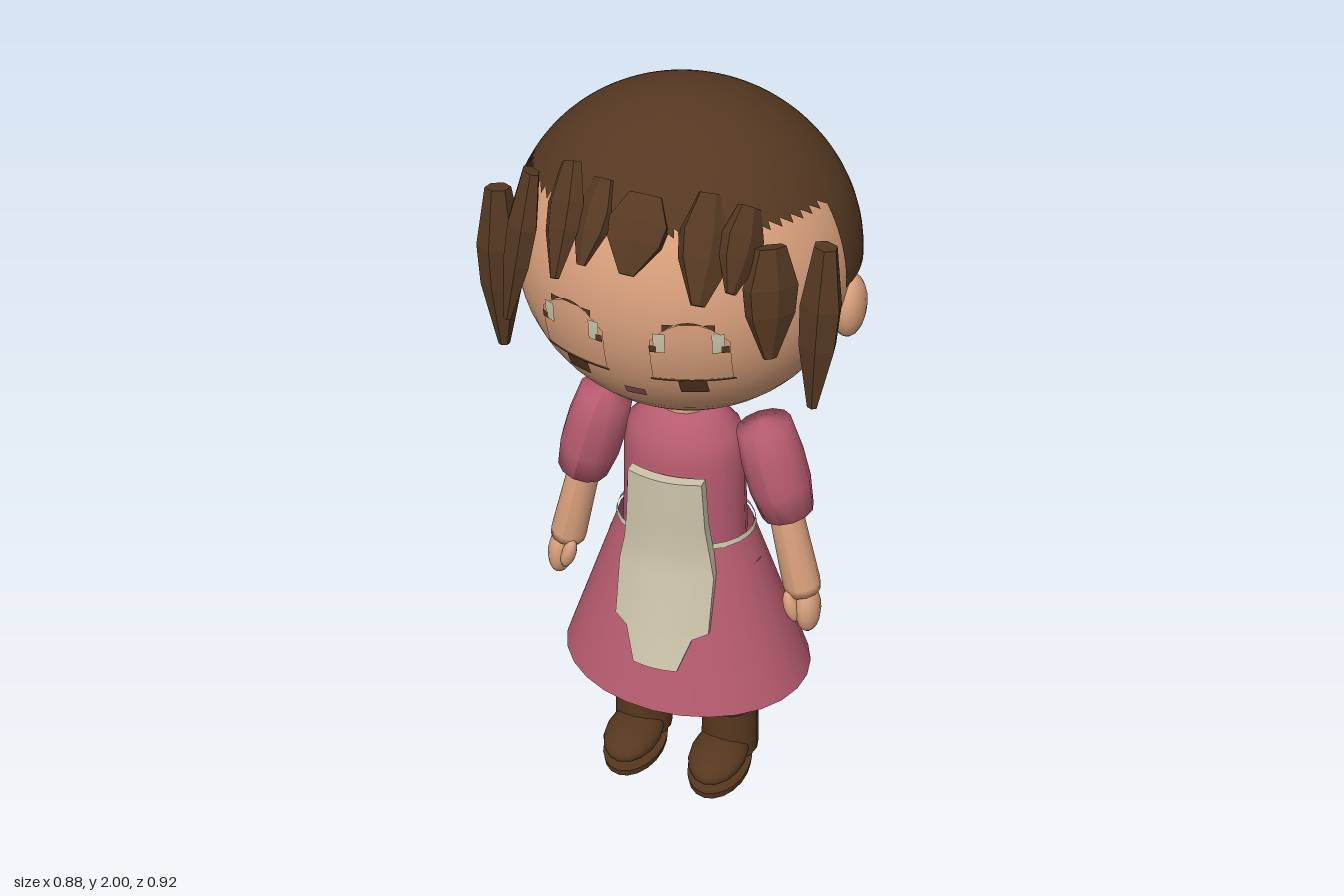
import * as THREE from 'three';

const mat = (name, color, double = false) => {
  const m = new THREE.MeshStandardMaterial({ color });
  m.name = name;
  if (double) m.side = THREE.DoubleSide;
  return m;
};

export function createModel() {
  const root = new THREE.Group();
  root.name = 'girl';
  const skin = mat('skin', 0xd9a07c);
  const hair = mat('hair brown', 0x553822, true);
  hair.flatShading = false;
  const dress = mat('dress pink', 0xb85c70, true);
  const cream = mat('apron cream', 0xcdc4aa, true);
  const legging = mat('legging grey', 0x5a4f48);
  const boot = mat('boot brown', 0x57381f);
  const yellow = mat('tie yellow', 0xdcc34a);
  const lip = mat('lip', 0x94505a, true);

  const add = (name, geo, material, parent = root) => {
    const m = new THREE.Mesh(geo, material);
    m.name = name;
    parent.add(m);
    return m;
  };
  const ball = (name, material, pos, radii, seg = 20) => {
    const m = add(name, new THREE.SphereGeometry(1, seg, Math.ceil(seg * 0.7)), material);
    m.position.set(...pos);
    m.scale.set(...radii);
    return m;
  };
  // Turned shape running from a (profile 1) down to b (profile 0), facing outward
  const spindle = (name, material, a, b, profile, w, d, seg, facing, flat = false) => {
    const A = new THREE.Vector3(...a), B = new THREE.Vector3(...b);
    const Y = A.clone().sub(B), len = Y.length();
    Y.normalize();
    const N = new THREE.Vector3(...facing).addScaledVector(Y, -Y.dot(new THREE.Vector3(...facing))).normalize();
    const X = Y.clone().cross(N);
    let geo = new THREE.LatheGeometry(profile.map(p => new THREE.Vector2(...p)), seg);
    geo.scale(w, len, d);
    geo.applyMatrix4(new THREE.Matrix4().makeBasis(X, Y, N).setPosition(B));
    if (flat) geo = geo.toNonIndexed();
    geo.computeVertexNormals();
    return add(name, geo, material);
  };

  // Head and ears
  const HY = 1.59, HZ = 0.06, R = [0.405, 0.39, 0.375];
  ball('head', skin, [0, HY, HZ], R, 40);
  for (const s of [-1, 1]) ball('ear', skin, [s * 0.4, 1.505, 0.045], [0.04, 0.08, 0.06], 14);

  // Hair cap: the cells of a shell that lie behind a stepped hairline
  const hr = [0.418, 0.4, 0.385], hy = 1.6;
  const cap = new THREE.SphereGeometry(1, 72, 60);
  cap.scale(...hr);
  const p = cap.attributes.position, keep = [];
  const isHair = (y, z) => y > 1.81 || (z < 0.12 && y > 1.6) || (z < -0.13 && y > 1.46) || (z < -0.17 && y > 1.32);
  const idx = cap.index.array;
  for (let i = 0; i < idx.length; i += 3) {
    const t = [idx[i], idx[i + 1], idx[i + 2]];
    const y = hy + t.reduce((a, k) => a + p.getY(k), 0) / 3;
    const z = HZ + t.reduce((a, k) => a + p.getZ(k), 0) / 3;
    if (isHair(y, z)) keep.push(...t);
  }
  cap.setIndex(keep);
  add('hairCap', cap, hair).position.set(0, hy, HZ);

  // Fringe and side locks: [top, tip, half width, half depth]
  const lock = [[0, 0], [0.25, 0], [0.9, 0.4], [1, 0.65], [0.55, 1], [0, 1]];
  const locks = [
    [[-0.385, 1.77, 0.25], [-0.385, 1.36, 0.27], 0.045, 0.055],
    [[0.395, 1.77, 0.25], [0.385, 1.36, 0.27], 0.045, 0.055],
    [[-0.28, 1.85, 0.29], [-0.325, 1.5, 0.365], 0.06, 0.035],
    [[0.29, 1.78, 0.31], [0.31, 1.53, 0.36], 0.07, 0.035],
    [[-0.18, 1.89, 0.29], [-0.165, 1.68, 0.44], 0.065, 0.035],
    [[-0.09, 1.88, 0.32], [-0.105, 1.72, 0.43], 0.05, 0.025],
    [[0.015, 1.87, 0.34], [0.01, 1.73, 0.45], 0.075, 0.03],
    [[0.15, 1.87, 0.29], [0.17, 1.68, 0.44], 0.07, 0.035],
    [[0.23, 1.85, 0.28], [0.23, 1.7, 0.4], 0.055, 0.03],
  ];
  for (const [a, b, w, d] of locks)
    spindle('hairLock', hair, a, b, lock, w, d, 6, [a[0], 0, a[2] - HZ], true);

  // Ponytail and its tie
  const tail = [[0, 0], [0.28, 0], [1, 0.27], [1, 0.68], [0.4, 0.97], [0, 1]];
  spindle('ponytail', hair, [0, 1.76, -0.35], [0, 1.17, -0.39], tail, 0.097, 0.082, 7, [0, 0, -1], true);
  ball('hairTie', yellow, [0, 1.74, -0.325], [0.045, 0.03, 0.03], 10);

  // Face plates wrapped on the head
  const plate = (name, material, x, y, w, h, off, arch = 0) => {
    const g = new THREE.PlaneGeometry(w, h, 8, 6), q = g.attributes.position;
    for (let i = 0; i < q.count; i++) {
      const u = 2 * q.getX(i) / w, v = q.getY(i) / h + 0.5;
      const px = x + q.getX(i), py = y + q.getY(i) - arch * u * u * v;
      const k = 1 - (px / R[0]) ** 2 - ((py - HY) / R[1]) ** 2;
      q.setXYZ(i, px, py, HZ + R[2] * Math.sqrt(k) + off);
    }
    g.computeVertexNormals();
    add(name, g, material);
  };
  for (const s of [-1, 1]) {
    plate('eyelid', skin, s * 0.14, 1.535, 0.17, 0.16, 0.008, 0.05);
    plate('upperLash', hair, s * 0.14, 1.616, 0.11, 0.007, 0.01, 0.025);
    plate('lowerLash', hair, s * 0.14, 1.453, 0.18, 0.006, 0.01);
    plate('iris', hair, s * 0.14, 1.43, 0.06, 0.045, 0.008);
    for (const t of [-1, 1]) {
      plate('eyeWhite', cream, s * 0.14 + t * 0.062, 1.563, 0.026, 0.05, 0.011);
      plate('eyeCorner', hair, s * 0.14 + t * 0.076, 1.548, 0.016, 0.018, 0.013);
    }
  }
  plate('mouth', lip, 0, 1.388, 0.05, 0.026, 0.006);

  // Neck and bodice
  add('neck', new THREE.CylinderGeometry(0.06, 0.065, 0.16, 16), skin).position.set(0, 1.18, 0.065);
  const body = [[0.165, 0.78], [0.16, 0.9], [0.158, 1.03], [0.145, 1.1], [0.09, 1.155], [0, 1.165]];
  const bodice = add('bodice', new THREE.LatheGeometry(body.map(q => new THREE.Vector2(...q)), 20), dress);
  bodice.scale.z = 0.79;
  bodice.position.z = 0.07;

  // Open skirt and apron band
  const skirt = add('skirt', new THREE.CylinderGeometry(0.18, 0.34, 0.46, 28, 1, true), dress);
  skirt.scale.z = 0.78;
  skirt.position.set(0, 0.57, 0.06);
  skirt.rotation.x = 0.025;
  const band = add('apronBand', new THREE.CylinderGeometry(0.182, 0.186, 0.014, 28, 1, true), cream);
  band.scale.z = 0.78;
  band.position.set(0, 0.806, 0.063);

  // Apron: rows of [y, half width, front z]
  const rows = [[1.02, 0.097, 0.234], [0.88, 0.105, 0.234], [0.8, 0.115, 0.232], [0.73, 0.128, 0.243],
    [0.575, 0.128, 0.28], [0.56, 0.09, 0.283], [0.47, 0.06, 0.306]];
  const ag = new THREE.BoxGeometry(2, 6, 1, 6, 6, 1), ap = ag.attributes.position;
  for (let i = 0; i < ap.count; i++) {
    const [y, w, z] = rows[Math.round(3 - ap.getY(i))];
    const x = ap.getX(i) * w;
    ap.setXYZ(i, x, y, z - 2.1 * x * x - (ap.getZ(i) < 0 ? 0.03 : 0));
  }
  ag.computeVertexNormals();
  add('apron', ag, cream);

  // Arms, legs and boots
  const sleeve = [[0, 0], [0.85, 0], [1, 0.3], [1, 0.6], [0.88, 0.95], [0, 1]];
  const arm = [[0, 0], [0.95, 0], [1, 0.08], [0.85, 1], [0, 1]];
  for (const s of [-1, 1]) {
    spindle('sleeve', dress, [s * 0.203, 1.155, 0.075], [s * 0.278, 0.895, 0.078], sleeve, 0.079, 0.08, 12, [0, 0, 1]);
    spindle('forearm', skin, [s * 0.262, 0.94, 0.08], [s * 0.328, 0.66, 0.085], arm, 0.049, 0.05, 12, [0, 0, 1]);
    ball('hand', skin, [s * 0.345, 0.612, 0.095], [0.034, 0.072, 0.048], 12).rotation.z = s * 0.08;
    ball('thumb', skin, [s * 0.31, 0.628, 0.125], [0.02, 0.048, 0.022], 10).rotation.z = s * 0.3;

    add('leg', new THREE.CylinderGeometry(0.078, 0.064, 0.56, 16), legging).position.set(s * 0.13, 0.44, 0.072);
    const shaft = add('bootShaft', new THREE.CylinderGeometry(0.076, 0.08, 0.16, 16), boot);
    shaft.position.set(s * 0.128, 0.116, 0.064);
    ball('bootFoot', boot, [s * 0.125, 0.066, 0.15], [0.078, 0.046, 0.12], 16);
    const sole = add('bootSole', new THREE.CylinderGeometry(1, 0.97, 0.022, 20), boot);
    sole.scale.set(0.083, 1, 0.132);
    sole.position.set(s * 0.125, 0.013, 0.137);
  }
  return root;
}
